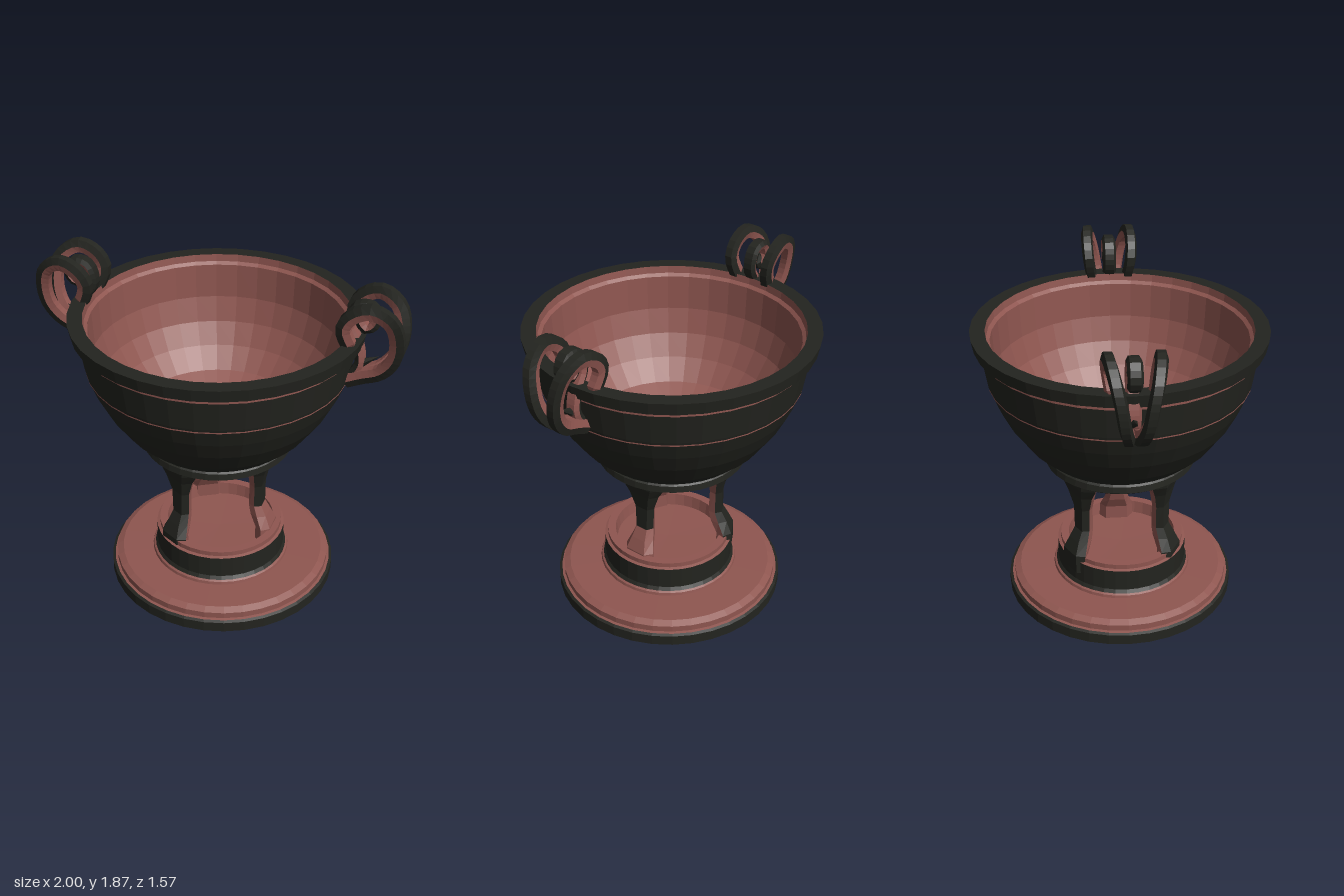
import * as THREE from 'three';

const makeMat = (color) => new THREE.MeshStandardMaterial({ color, flatShading: true, side: THREE.DoubleSide });
const DARK = makeMat(0x23241f);
const RED = makeMat(0x8f5650);

function add(parent, name, geometry, material, x = 0, y = 0, z = 0) {
  const mesh = new THREE.Mesh(geometry, material);
  mesh.name = name;
  mesh.position.set(x, y, z);
  parent.add(mesh);
  return mesh;
}

// Turned part from [radius, height] pairs
function turned(parent, name, profile, material, x = 0, z = 0) {
  const points = profile.map(([r, y]) => new THREE.Vector2(r, y));
  return add(parent, name, new THREE.LatheGeometry(points, 36), material, x, 0, z);
}

// Open surface through rows of points
function strip(parent, name, rows, material) {
  const n = rows[0].length, index = [];
  for (let i = 0; i < rows.length - 1; i++) {
    for (let j = 0; j < n - 1; j++) {
      const a = i * n + j, b = a + n;
      index.push(a, b, a + 1, b, b + 1, a + 1);
    }
  }
  const g = new THREE.BufferGeometry();
  g.setAttribute('position', new THREE.Float32BufferAttribute(rows.flat(2), 3));
  g.setIndex(index);
  g.computeVertexNormals();
  return add(parent, name, g, material);
}

// Outer (side = 1) or inner (side = -1) half of a six-sided section
// s = { x, y, z centre, nx, ny outward direction, w half width, t half thickness }
function halfSection(s, side) {
  return [[-1, 0], [-0.65, 1], [0.65, 1], [1, 0]].map(([b, n]) => [
    s.x + s.nx * n * side * s.t, s.y + s.ny * n * side * s.t, s.z + b * side * s.w,
  ]);
}

// Two-tone band following a smooth path, tapering at its end
function band(parent, name, path, w, t, steps, outer, inner) {
  const curve = new THREE.CatmullRomCurve3(path.map((p) => new THREE.Vector3(...p)));
  const sections = [];
  for (let i = 0; i <= steps; i++) {
    const p = curve.getPointAt(i / steps), d = curve.getTangentAt(i / steps);
    const len = Math.hypot(d.x, d.y) || 1;
    const k = i === steps ? 0.3 : 1;
    sections.push({ x: p.x, y: p.y, z: p.z, nx: d.y / len, ny: -d.x / len, w: w * k, t: t * k });
  }
  strip(parent, name + 'Outer', sections.map((s) => halfSection(s, 1)), outer);
  strip(parent, name + 'Inner', sections.map((s) => halfSection(s, -1)), inner);
}

function makeLeg(footMaterial) {
  const leg = new THREE.Group();
  // inner radius, outer radius, height, half width
  const rows = [
    [0.26, 0.345, 0.22, 0.1], [0.26, 0.345, 0.33, 0.095], [0.225, 0.315, 0.4, 0.07],
    [0.21, 0.285, 0.46, 0.055], [0.215, 0.285, 0.6, 0.062], [0.21, 0.305, 0.7, 0.1],
    [0.2, 0.325, 0.77, 0.145], [0.2, 0.33, 0.84, 0.17],
  ];
  const sections = rows.map(([a, b, y, w]) => ({
    x: (a + b) / 2, y, z: 0, nx: 1, ny: 0, w, t: (b - a) / 2,
  }));
  const front = sections.map((s) => halfSection(s, 1));
  strip(leg, 'legFront', front.slice(3), DARK);
  strip(leg, 'legFoot', front.slice(0, 4), footMaterial);
  strip(leg, 'legBack', sections.map((s) => halfSection(s, -1)), RED);
  return leg;
}

function makeHandle() {
  const handle = new THREE.Group();
  // Paired outer loops
  for (const s of [1, -1]) {
    const path = [
      [0.7, 1.37, 0.015], [0.78, 1.41, 0.02], [0.88, 1.46, 0.035], [0.945, 1.55, 0.055],
      [0.96, 1.67, 0.075], [0.925, 1.78, 0.1], [0.83, 1.835, 0.12], [0.74, 1.8, 0.125],
      [0.695, 1.73, 0.12], [0.71, 1.66, 0.11], [0.74, 1.6, 0.1],
    ].map(([x, y, z]) => [x, y, z * s]);
    band(handle, 'handleLoop', path, 0.032, 0.037, 28, DARK, RED);
  }
  // Central scroll
  band(handle, 'handleScroll', [
    [0.71, 1.38, 0], [0.765, 1.48, 0], [0.745, 1.6, 0], [0.7, 1.69, 0], [0.73, 1.79, 0],
    [0.81, 1.8, 0], [0.84, 1.73, 0], [0.79, 1.68, 0], [0.75, 1.73, 0], [0.785, 1.75, 0],
  ], 0.038, 0.024, 30, RED, DARK);
  // Leaf tip and the boss against the bowl
  const leaf = add(handle, 'handleLeaf', new THREE.ConeGeometry(0.03, 0.13, 5), DARK, 0.81, 1.5, 0);
  leaf.rotation.z = -1.05;
  const boss = add(handle, 'handleBoss', new THREE.IcosahedronGeometry(0.05, 0), DARK, 0.72, 1.38, 0);
  boss.scale.set(0.7, 1, 0.8);
  return handle;
}

export function createModel() {
  const model = new THREE.Group();
  model.name = 'footedBowl';

  // Round base in two tiers
  turned(model, 'basePlate', [[0, 0], [0.645, 0], [0.645, 0.06], [0.63, 0.067]], DARK, 0.027);
  turned(model, 'baseTier', [[0.63, 0.067], [0.615, 0.07], [0.615, 0.105], [0.58, 0.122], [0, 0.13]], RED, 0.027);

  // Hollow pedestal drum
  turned(model, 'pedestalFoot', [[0.395, 0.12], [0.39, 0.14], [0.365, 0.155]], RED, 0.02, 0.01);
  turned(model, 'pedestalWall', [[0.385, 0.138], [0.367, 0.165], [0.367, 0.29]], DARK, 0.02, 0.01);
  turned(model, 'pedestalLip', [[0.367, 0.29], [0.35, 0.295], [0.35, 0.322], [0.305, 0.322], [0.295, 0.25], [0, 0.245]], RED, 0.02, 0.01);

  // Three shaped legs
  for (let i = 0; i < 3; i++) {
    const leg = makeLeg(i === 0 ? RED : DARK);
    leg.name = 'leg';
    leg.position.x = -0.012;
    leg.rotation.y = (i * Math.PI * 2) / 3;
    model.add(leg);
  }

  // Collar and outside of the bowl
  turned(model, 'collar', [[0, 0.82], [0.36, 0.82], [0.395, 0.835], [0.415, 0.85], [0.41, 0.885], [0.39, 0.9]], DARK);
  turned(model, 'bowlOutside', [
    [0.385, 0.885], [0.43, 0.915], [0.52, 1.0], [0.61, 1.13], [0.665, 1.24], [0.7, 1.335],
  ], DARK);
  turned(model, 'bowlGroove', [[0.7, 1.335], [0.704, 1.338], [0.704, 1.345]], RED);
  turned(model, 'bowlBand', [[0.704, 1.345], [0.708, 1.36], [0.735, 1.53]], DARK);
  turned(model, 'rimGroove', [[0.735, 1.53], [0.747, 1.535], [0.747, 1.55]], RED);
  turned(model, 'rim', [[0.747, 1.55], [0.772, 1.562], [0.785, 1.63], [0.705, 1.63]], DARK);

  // Inside of the bowl
  turned(model, 'bowlInside', [
    [0.705, 1.63], [0.7, 1.59], [0.682, 1.575], [0.672, 1.38], [0.63, 1.24],
    [0.56, 1.12], [0.46, 1.01], [0.3, 0.935], [0.14, 0.91], [0, 0.905],
  ], RED);

  // Scrolled handles on both sides
  for (const turn of [0, Math.PI]) {
    const handle = makeHandle();
    handle.name = turn ? 'rightHandle' : 'leftHandle';
    handle.rotation.y = turn;
    model.add(handle);
  }
  return model;
}
